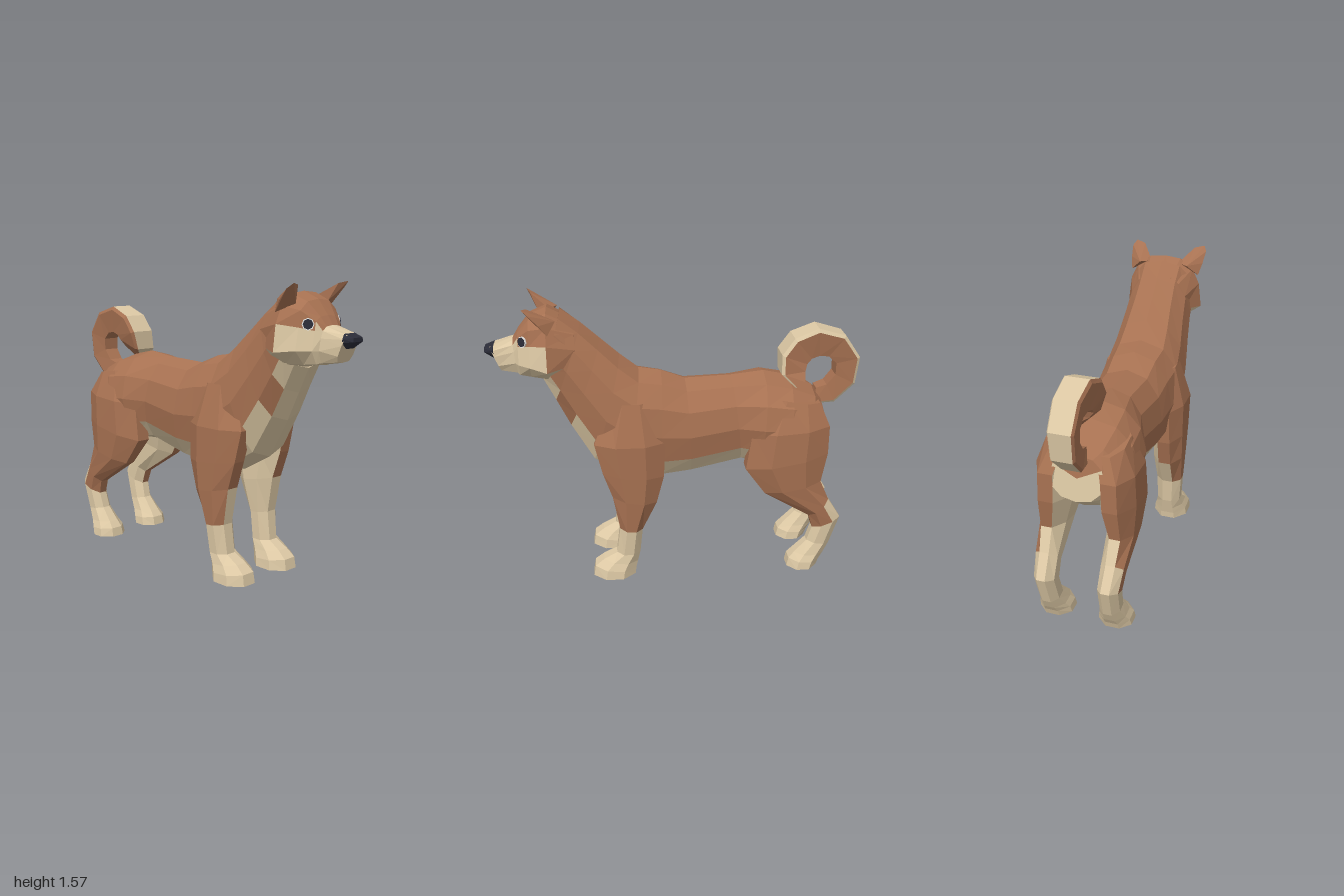
import * as THREE from 'three';
import { ConvexGeometry } from 'three/addons/geometries/ConvexGeometry.js';

const V = (x, y, z) => new THREE.Vector3(x, y, z);
const mat = (name, color) => {
  const m = new THREE.MeshStandardMaterial({ color, flatShading: true });
  m.name = name;
  return m;
};

// Closed skin over rings of points; pick(i, j) gives the material index of each face,
// with i = -1 and i = rings.length - 1 for the end caps.
function loft(rings, pick) {
  const buckets = [[], []];
  const last = rings.length - 1, n = rings[0].length;
  const add = (k, ...p) => buckets[k].push(p);
  const middle = r => r.reduce((s, p) => s.add(p), V(0, 0, 0)).divideScalar(n);
  const c0 = middle(rings[0]), c1 = middle(rings[last]);
  for (let j = 0; j < n; j++) {
    const k = (j + 1) % n;
    for (let i = 0; i < last; i++) {
      const a = rings[i][j], b = rings[i][k], c = rings[i + 1][k], d = rings[i + 1][j];
      add(pick(i, j), a, b, c);
      add(pick(i, j), a, c, d);
    }
    add(pick(-1, j), c0, rings[0][k], rings[0][j]);
    add(pick(last, j), c1, rings[last][j], rings[last][k]);
  }
  // Turn all faces outward
  let volume = 0;
  for (const [a, b, c] of buckets.flat()) volume += a.dot(b.clone().cross(c));
  const pos = [], geo = new THREE.BufferGeometry();
  buckets.forEach((tris, k) => {
    geo.addGroup(pos.length / 3, tris.length * 3, k);
    for (const [a, b, c] of tris)
      for (const p of volume < 0 ? [a, c, b] : [a, b, c]) pos.push(p.x, p.y, p.z);
  });
  geo.setAttribute('position', new THREE.Float32BufferAttribute(pos, 3));
  geo.computeVertexNormals();
  return geo;
}

export function createModel() {
  const model = new THREE.Group();
  model.name = 'dog';
  const brown = mat('brown fur', 0xa87252);
  const cream = mat('cream fur', 0xdcc8a4);
  const dark = mat('dark nose and eyes', 0x2b2c38);
  const white = mat('eye white', 0xf0eeea);
  const fur = [brown, cream];
  const add = (name, geo, material) => {
    const m = new THREE.Mesh(geo, material);
    m.name = name;
    model.add(m);
    return m;
  };

  // Body and neck: top z, top y, bottom z, bottom y, half width
  const body = [
    [-0.79, 1.00, -0.83, 0.76, 0.14],
    [-0.75, 1.05, -0.73, 0.68, 0.21],
    [-0.62, 1.11, -0.60, 0.64, 0.245],
    [-0.48, 1.14, -0.45, 0.62, 0.24],
    [-0.30, 1.12, -0.36, 0.63, 0.185],
    [-0.05, 1.11, -0.08, 0.57, 0.205],
    [0.08, 1.16, 0.10, 0.545, 0.215],
    [0.20, 1.18, 0.28, 0.56, 0.23],
    [0.30, 1.26, 0.46, 0.66, 0.215],
    [0.40, 1.35, 0.58, 0.87, 0.195],
    [0.50, 1.44, 0.65, 1.02, 0.183],
    [0.60, 1.515, 0.71, 1.15, 0.185],
  ].map(([zt, yt, zb, yb, w]) => Array.from({ length: 12 }, (_, k) => {
    const a = k * Math.PI / 6, c = (1 - Math.cos(a)) / 2, s = Math.sin(a);
    return V(Math.sign(s) * Math.abs(s) ** 0.85 * w, yt + (yb - yt) * c, zt + (zb - zt) * c);
  }));
  add('body', loft(body, (i, j) => {
    if (i === -1) return j >= 2 && j <= 9 ? 1 : 0;
    const inset = i === 9 ? 1 : 0;
    return j >= 4 + inset && j <= 7 - inset ? 1 : 0;
  }), fur);

  // Head: z, then half outline from crown to chin; lower points slope back on the muzzle
  const head = [
    [0.53, 0, [[0, 1.455], [0.07, 1.44], [0.12, 1.41], [0.16, 1.34], [0.155, 1.26], [0.10, 1.19], [0, 1.16]]],
    [0.67, 0, [[0, 1.525], [0.09, 1.515], [0.165, 1.46], [0.205, 1.375], [0.222, 1.24], [0.13, 1.175], [0, 1.15]]],
    [0.76, 0, [[0, 1.49], [0.08, 1.48], [0.132, 1.44], [0.145, 1.36], [0.165, 1.25], [0.10, 1.18], [0, 1.17]]],
    [0.82, 0, [[0, 1.415], [0.055, 1.41], [0.09, 1.39], [0.097, 1.345], [0.115, 1.25], [0.08, 1.185], [0, 1.175]]],
    [0.85, 0.1, [[0, 1.37], [0.045, 1.365], [0.07, 1.345], [0.08, 1.31], [0.085, 1.25], [0.06, 1.19], [0, 1.18]]],
    [0.97, 0.4, [[0, 1.33], [0.04, 1.33], [0.055, 1.31], [0.06, 1.28], [0.06, 1.23], [0.045, 1.20], [0, 1.195]]],
  ].map(([z, slope, half]) => {
    const at = (x, y) => V(x, y, z - (half[0][1] - y) * slope);
    return [...half.map(([x, y]) => at(x, y)),
      ...half.slice(1, -1).reverse().map(([x, y]) => at(-x, y))];
  });
  add('head', loft(head, (i, j) => {
    if (i < 1) return j >= 4 && j <= 7 ? 1 : 0;
    const reach = i < 3 ? 3 : i === 3 ? 2 : 0;
    return j < reach || j > 11 - reach ? 0 : 1;
  }), fur);

  // Nose, wedge shaped
  add('nose', new ConvexGeometry([
    [0.042, 1.337, 0.95], [0.06, 1.315, 0.955], [0.058, 1.295, 0.95], [0.028, 1.265, 0.955],
    [0.034, 1.32, 1.0], [0.038, 1.30, 1.0],
  ].flatMap(([x, y, z]) => [V(x, y, z), V(-x, y, z)])), dark);

  // Tail: curl of angle, middle radius, half thickness, half width, sideways drift
  const section = [[0.85, 1], [1, 0.75], [0.75, -1], [-0.75, -1], [-1, 0.75], [-0.85, 1]];
  const tail = [
    [-95, 0.165, 0.045, 0.05, 0], [-65, 0.165, 0.055, 0.058, 0], [-25, 0.16, 0.06, 0.062, 0],
    [15, 0.158, 0.065, 0.065, 0], [55, 0.152, 0.072, 0.068, 0], [95, 0.15, 0.078, 0.072, 0],
    [130, 0.153, 0.077, 0.078, 0], [158, 0.155, 0.075, 0.08, 0.005], [185, 0.15, 0.065, 0.07, 0.025],
    [212, 0.135, 0.03, 0.04, 0.075],
  ].map(([deg, R, t, w, drift]) => section.map(([sx, sr]) => {
    const a = deg * Math.PI / 180, r = R + sr * t;
    return V(drift + sx * w, 1.16 + Math.sin(a) * r, -0.78 - Math.cos(a) * r);
  }));
  add('tail', loft(tail, (i, j) => (j === 0 || j >= 4 ? 1 : 0) && j !== 4 ? 1 : 0), fur);

  // Legs: front z, front y, back z, back y, centre x, half width
  const frontLeg = [
    [0.48, 0, 0.245, 0, 0.165, 0.10],
    [0.47, 0.06, 0.24, 0.04, 0.165, 0.095],
    [0.42, 0.10, 0.23, 0.08, 0.165, 0.08],
    [0.345, 0.14, 0.215, 0.14, 0.167, 0.067],
    [0.325, 0.30, 0.20, 0.29, 0.172, 0.073],
    [0.36, 0.50, 0.12, 0.46, 0.172, 0.085],
    [0.41, 0.65, 0.08, 0.62, 0.175, 0.085],
    [0.45, 0.82, 0.07, 0.82, 0.165, 0.095],
    [0.36, 1.05, 0.14, 1.04, 0.12, 0.08],
  ];
  const hindLeg = [
    [-0.63, 0, -0.80, 0, 0.165, 0.09],
    [-0.64, 0.05, -0.815, 0.04, 0.165, 0.085],
    [-0.67, 0.085, -0.84, 0.08, 0.165, 0.07],
    [-0.74, 0.16, -0.87, 0.14, 0.165, 0.055],
    [-0.765, 0.25, -0.92, 0.31, 0.17, 0.055],
    [-0.74, 0.33, -0.845, 0.43, 0.175, 0.06],
    [-0.48, 0.49, -0.79, 0.55, 0.18, 0.07],
    [-0.37, 0.64, -0.82, 0.72, 0.165, 0.095],
    [-0.40, 0.85, -0.82, 0.88, 0.16, 0.095],
    [-0.50, 1.04, -0.77, 1.0, 0.12, 0.08],
  ];
  // Eight sides; side 7 faces outward, 1 forward, 3 inward, 5 backward
  const leg = (rows, side) => rows.map(([zf, yf, zb, yb, cx, hx]) =>
    Array.from({ length: 8 }, (_, k) => {
      const a = (k + 0.5) * Math.PI / 4, q = 1 / Math.cos(Math.PI / 8);
      const t = (1 - Math.sin(a) * q) / 2;
      return V(side * (cx + Math.cos(a) * q * hx), yf + (yb - yf) * t, zf + (zb - zf) * t);
    }));
  const outer = j => j === 7 || j === 0 || j === 6;
  const frontPick = (i, j) => {
    if (i < 4) return 1;
    if (i < 5) return outer(j) ? 0 : 1;
    return j >= 2 && j <= 4 ? 1 : 0;
  };
  const hindPick = (i, j) => {
    if (i < 4) return 1;
    if (j >= 2 && j <= 4) return 1;
    return i < 6 && (j === 5 || (i === 4 && j === 6)) ? 1 : 0;
  };

  for (const side of [1, -1]) {
    const label = side > 0 ? 'left' : 'right';
    add(label + 'FrontLeg', loft(leg(frontLeg, side), frontPick), fur);
    add(label + 'HindLeg', loft(leg(hindLeg, side), hindPick), fur);

    // Ear, tipped forward
    add(label + 'Ear', new ConvexGeometry([
      [0.08, 1.49, 0.66], [0.20, 1.43, 0.66], [0.14, 1.49, 0.62], [0.12, 1.47, 0.72],
      [0.152, 1.56, 0.76], [0.205, 1.57, 0.78], [0.222, 1.545, 0.75], [0.215, 1.49, 0.70],
    ].map(([x, y, z]) => V(side * x, y, z))), brown);

    // Eye: thin discs lying on the face
    const normal = V(side * 0.72, 0.12, 0.68).normalize();
    [[0.03, white, 0.002, 'EyeWhite'], [0.025, dark, 0.006, 'Pupil']].forEach(([r, m, lift, name]) => {
      const disc = add(label + name, new THREE.CylinderGeometry(r, r, 0.008, 8), m);
      disc.position.set(side * 0.115, 1.376, 0.793).addScaledVector(normal, lift);
      disc.quaternion.setFromUnitVectors(V(0, 1, 0), normal);
    });
  }
  return model;
}
